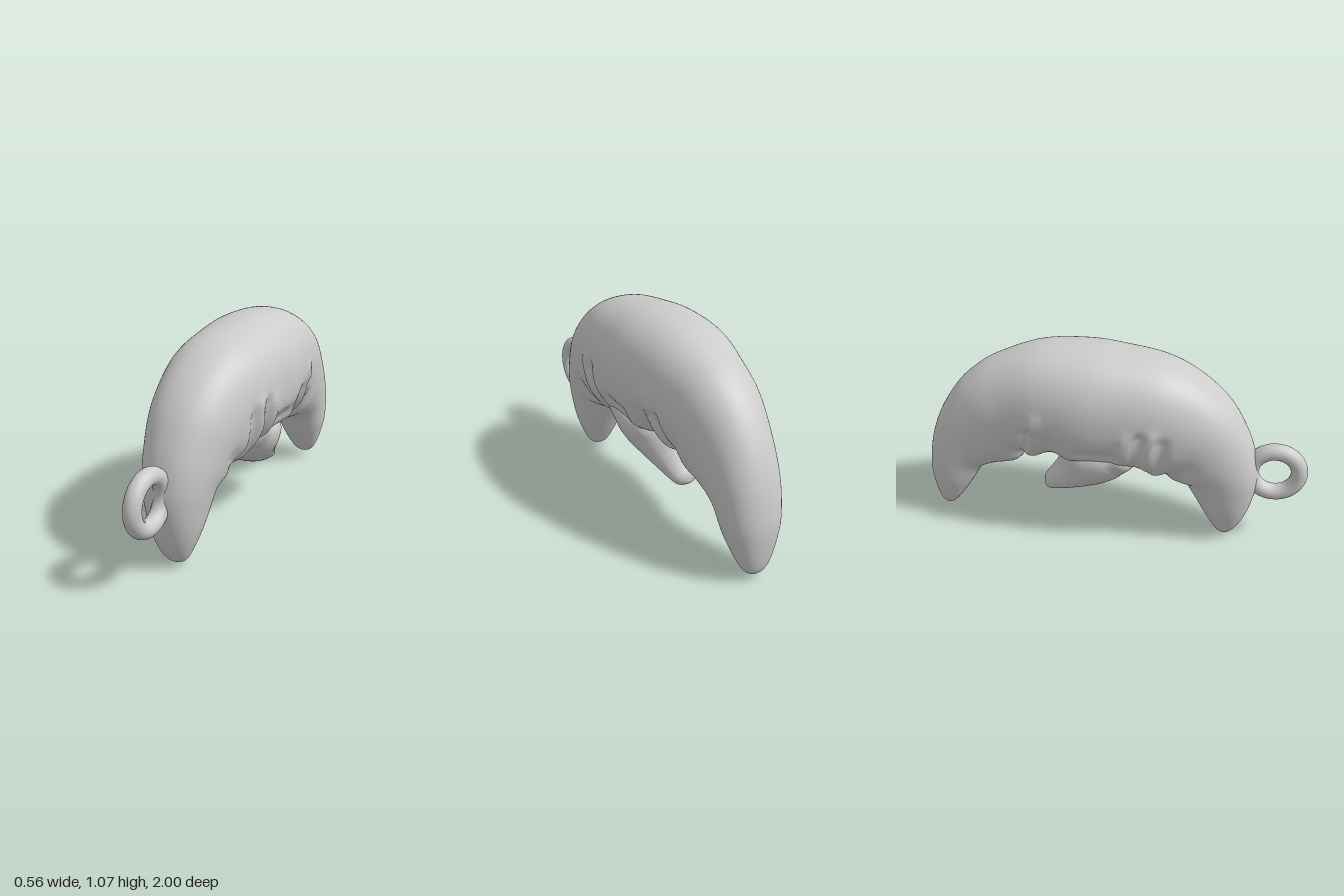
import * as THREE from 'three';
import { mergeVertices } from 'three/addons/utils/BufferGeometryUtils.js';

// Each row: outer z, y / inner z, y / half width
const BODY = [
  [0.6, 0, 0.6, 0, 0], [0.645, 0.03, 0.56, 0.025, 0.052], [0.69, 0.1, 0.51, 0.1, 0.09],
  [0.725, 0.2, 0.455, 0.2, 0.125], [0.748, 0.33, 0.4, 0.3, 0.15], [0.742, 0.45, 0.37, 0.35, 0.168],
  [0.7, 0.6, 0.3, 0.36, 0.19], [0.6, 0.78, 0.26, 0.4, 0.215], [0.45, 0.92, 0.21, 0.38, 0.24],
  [0.27, 1.01, 0.15, 0.42, 0.26], [0.05, 1.05, 0.03, 0.43, 0.272], [-0.14, 1.065, -0.14, 0.44, 0.28],
  [-0.38, 1.045, -0.31, 0.46, 0.255], [-0.6, 0.96, -0.39, 0.425, 0.222], [-0.72, 0.88, -0.44, 0.445, 0.207],
  [-0.81, 0.79, -0.5, 0.38, 0.192], [-0.9, 0.65, -0.6, 0.355, 0.172], [-0.96, 0.5, -0.7, 0.31, 0.157],
  [-0.99, 0.35, -0.76, 0.22, 0.142], [-0.995, 0.25, -0.79, 0.17, 0.125], [-0.98, 0.12, -0.845, 0.09, 0.088],
  [-0.96, 0.05, -0.89, 0.035, 0.05], [-0.93, 0.018, -0.93, 0.018, 0],
];
const FIN = [
  [0.0, 0.56, 0.0, 0.56, 0], [0.0, 0.62, 0.13, 0.45, 0.18], [-0.1, 0.61, 0.07, 0.365, 0.21],
  [-0.2, 0.56, -0.01, 0.305, 0.2], [-0.26, 0.46, -0.1, 0.26, 0.155], [-0.295, 0.38, -0.19, 0.225, 0.115],
  [-0.335, 0.315, -0.28, 0.2, 0.085], [-0.37, 0.265, -0.34, 0.192, 0.058], [-0.378, 0.218, -0.378, 0.218, 0],
];
// Side folds: segment z, y to z, y / amount / radius
const FOLDS = [
  [0.16, 0.7, 0.13, 0.5, -0.13, 0.028], [0.22, 0.72, 0.19, 0.48, 0.06, 0.03],
  [0.1, 0.7, 0.06, 0.52, 0.05, 0.035], [0.27, 0.68, 0.25, 0.48, -0.08, 0.03],
  [0.0, 0.57, -0.12, 0.56, -0.1, 0.04], [-0.3, 0.62, -0.3, 0.5, -0.1, 0.05],
  [-0.36, 0.75, -0.42, 0.5, 0.06, 0.03], [-0.4, 0.66, -0.46, 0.46, -0.14, 0.025],
  [0.4, 0.5, 0.34, 0.4, -0.07, 0.04], [-0.2, 0.51, -0.2, 0.47, 0.12, 0.05],
];

function foldFactor(z, y) {
  let f = 1;
  for (const [z1, y1, z2, y2, amount, radius] of FOLDS) {
    const dz = z2 - z1, dy = y2 - y1;
    const t = THREE.MathUtils.clamp(((z - z1) * dz + (y - y1) * dy) / (dz * dz + dy * dy), 0, 1);
    const d = Math.hypot(z - z1 - t * dz, y - y1 - t * dy) / radius;
    f += amount * Math.exp(-d * d);
  }
  return f;
}

// Smooth closed loft between an outer and an inner edge
function loft(rows, steps, sides, power) {
  const curve = (k) => new THREE.CatmullRomCurve3(
    rows.map((r) => new THREE.Vector3(r[4], r[k + 1], r[k])), false, 'catmullrom', 0.5);
  const outer = curve(0), inner = curve(2);
  const round = (v) => Math.sign(v) * Math.pow(Math.abs(v), power);
  const pos = [], index = [];
  for (let i = 0; i <= steps; i++) {
    // finer spacing at the rounded ends
    const u = i / steps, t = u - Math.sin(u * Math.PI * 2) * 0.08;
    const o = outer.getPoint(t), n = inner.getPoint(t);
    for (let j = 0; j < sides; j++) {
      const a = (j / sides) * Math.PI * 2, c = round(Math.cos(a)), s = round(Math.sin(a));
      const y = (o.y + n.y) / 2 + (c * (o.y - n.y)) / 2;
      const z = (o.z + n.z) / 2 + (c * (o.z - n.z)) / 2;
      pos.push(Math.max(o.x, 0) * s * foldFactor(z, y), y, z);
      if (i < steps) {
        const p = i * sides + j, q = i * sides + ((j + 1) % sides);
        index.push(p, q, p + sides, q, q + sides, p + sides);
      }
    }
  }
  const g = new THREE.BufferGeometry();
  g.setAttribute('position', new THREE.Float32BufferAttribute(pos, 3));
  g.setIndex(index);
  const merged = mergeVertices(g, 1e-5);
  merged.computeVertexNormals();
  return merged;
}

export function createModel() {
  const group = new THREE.Group();
  const material = new THREE.MeshStandardMaterial({ color: 0xcccccc });
  const add = (name, geometry) => {
    const mesh = new THREE.Mesh(geometry, material);
    mesh.name = name;
    group.add(mesh);
    return mesh;
  };

  // Crescent body with folded belly
  add('body', loft(BODY, 220, 112, 0.9));

  // Lobe curling backward under the belly
  add('bellyLobe', loft(FIN, 90, 64, 1));

  // Hanging ring at the front
  const ring = add('ring', new THREE.TorusGeometry(0.123, 0.043, 24, 72));
  ring.rotation.y = Math.PI / 2;
  ring.position.set(0, 0.415, 0.834);

  return group;
}
